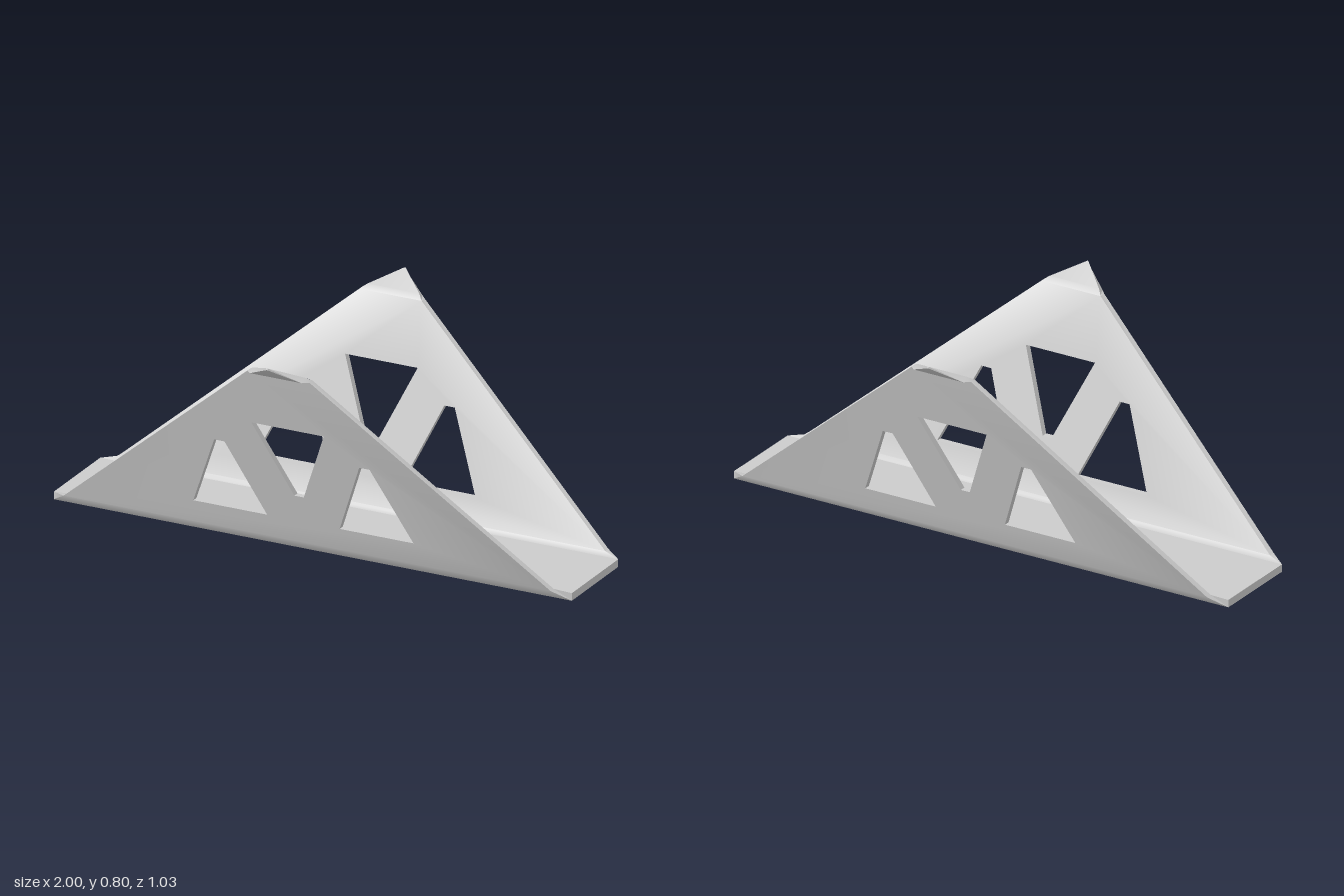
import * as THREE from 'three';
import { mergeGeometries, toCreasedNormals } from 'three/addons/utils/BufferGeometryUtils.js';

const Y0 = 0.04, Y1 = 0.735; // lower and upper fold of the side panel

const outline = (points) => points.map(([x, y]) => new THREE.Vector2(x, y));
const fromPositions = (array) => {
  const g = new THREE.BufferGeometry();
  g.setAttribute('position', new THREE.Float32BufferAttribute(array, 3));
  return g;
};

// Open-ended band through rows of [half width, outer z, outer y, inner z, inner y]
function band(rows) {
  const rings = rows.map(([w, zo, yo, zi, yi]) =>
    [[-w, yo, zo], [w, yo, zo], [w, yi, zi], [-w, yi, zi]]);
  const out = [];
  for (let r = 0; r < rings.length - 1; r++) {
    for (let k = 0; k < 4; k++) {
      const n = (k + 1) % 4, a = rings[r], b = rings[r + 1];
      out.push(...a[k], ...a[n], ...b[n], ...a[k], ...b[n], ...b[k]);
    }
  }
  return fromPositions(out);
}

// Leaning truss panel: extruded outline with holes, sheared outwards with height
function panel() {
  const shape = new THREE.Shape(outline([[-0.94, Y0], [0.94, Y0], [0.12, Y1], [-0.12, Y1]]));
  const holes = [[[-0.14, 0.515], [0.14, 0.515], [0.018, 0.235], [-0.018, 0.235]]];
  for (const s of [-1, 1]) {
    holes.push([[0.425 * s, 0.13], [0.14 * s, 0.13], [0.26 * s, 0.41], [0.3 * s, 0.41]]);
  }
  holes.forEach((h) => shape.holes.push(new THREE.Path(outline(h))));
  const p = new THREE.ExtrudeGeometry(shape, { depth: 1, bevelEnabled: false }).attributes.position;

  const out = [];
  for (let i = 0; i < p.count; i += 3) {
    const ids = [i, i + 1, i + 2];
    // leave the fold edges open, the neighbouring bands continue there
    if ([Y0, Y1].some((y) => ids.every((j) => Math.abs(p.getY(j) - y) < 1e-5))) continue;
    for (const j of ids) {
      const y = p.getY(j);
      out.push(p.getX(j), y, 0.192 + (y - Y0) * 0.214 / (Y1 - Y0) + 0.0235 * p.getZ(j));
    }
  }
  return fromPositions(out);
}

function wallGeometry() {
  const lowerBend = band([
    [1, 0.173, 0, 0.173, 0.028],
    [0.94, 0.2155, Y0, 0.192, Y0],
  ]);
  const lip = band([
    [0.12, 0.4295, Y1, 0.406, Y1],
    [0.1, 0.45, 0.737, 0.428, 0.75],
    [0.002, 0.515, 0.79, 0.515, 0.797],
  ]);
  return toCreasedNormals(mergeGeometries([lowerBend, panel(), lip]), 0.8);
}

export function createModel() {
  const group = new THREE.Group();
  const material = new THREE.MeshStandardMaterial({ color: 0xcccccc });

  // Flat floor plate
  const base = new THREE.Mesh(new THREE.BoxGeometry(2, 0.028, 0.346), material);
  base.name = 'floorPlate';
  base.position.y = 0.014;
  group.add(base);

  // Two mirrored side walls with folded lip
  const geometry = wallGeometry();
  ['frontWall', 'backWall'].forEach((name, i) => {
    const wall = new THREE.Mesh(geometry, material);
    wall.name = name;
    wall.rotation.y = i * Math.PI;
    group.add(wall);
  });
  return group;
}
